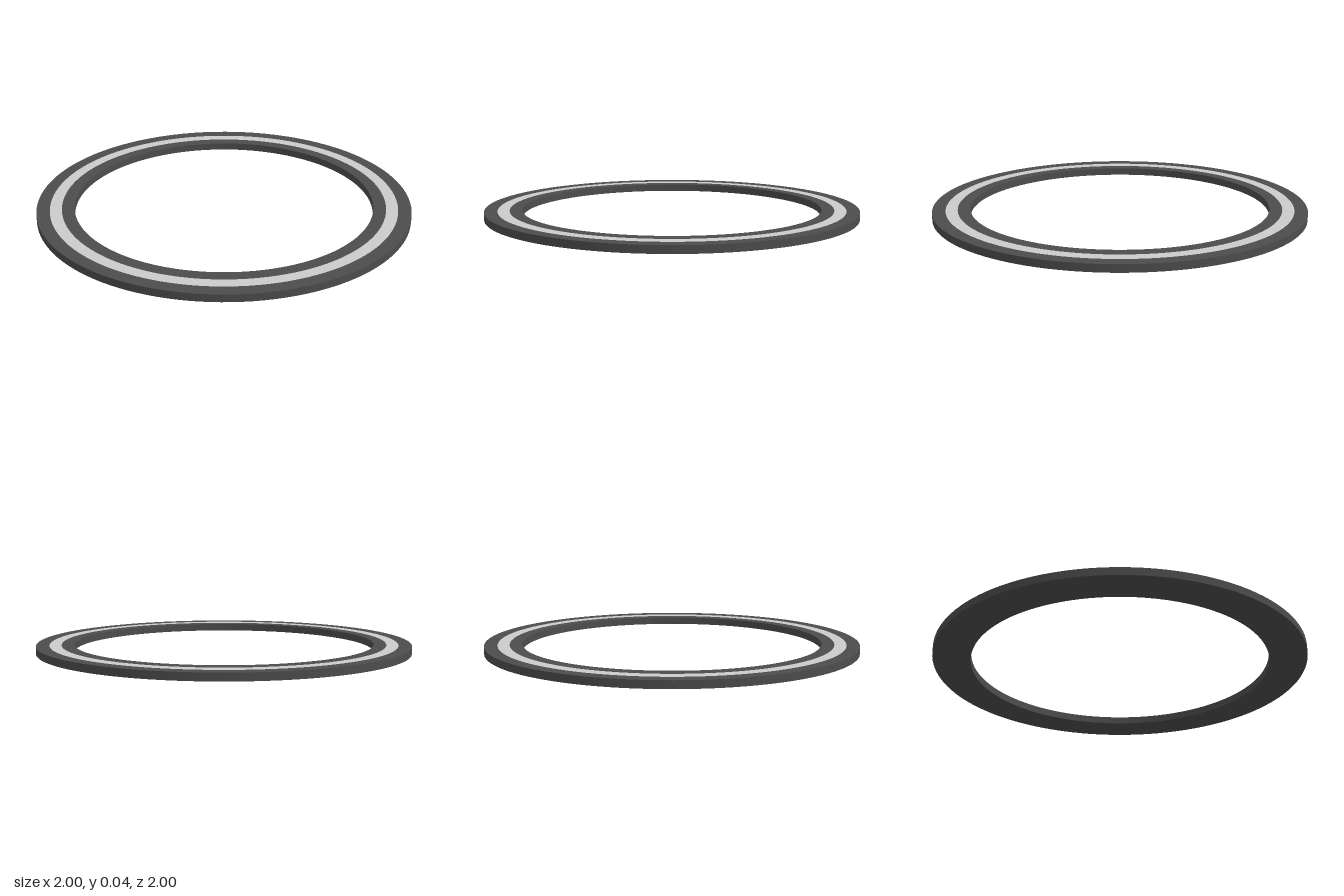
import * as THREE from 'three';
import { toCreasedNormals } from 'three/addons/utils/BufferGeometryUtils.js';

const HEIGHT = 0.04, INNER = 0.8, OUTER = 1;
const STRIP_INNER = 0.867, STRIP_OUTER = 0.93;

// Revolves a [radius, height] profile, keeping its corners sharp
function ring(name, profile, color) {
  const points = profile.map(([r, y]) => new THREE.Vector2(r, y));
  const geometry = toCreasedNormals(new THREE.LatheGeometry(points, 128), 0.6);
  const mesh = new THREE.Mesh(geometry, new THREE.MeshStandardMaterial({ color }));
  mesh.name = name;
  return mesh;
}

export function createModel() {
  const group = new THREE.Group();
  group.name = 'flatRing';

  // Dark frame: inner lip, inner wall, underside, outer wall, outer lip
  group.add(ring('frame', [
    [STRIP_INNER, HEIGHT], [INNER, HEIGHT], [INNER, 0],
    [OUTER, 0], [OUTER, HEIGHT], [STRIP_OUTER, HEIGHT],
  ], 0x4d4d4d));

  // Light strip set flush into the top face
  group.add(ring('lightStrip', [[STRIP_OUTER, HEIGHT], [STRIP_INNER, HEIGHT]], 0xcccccc));

  return group;
}
